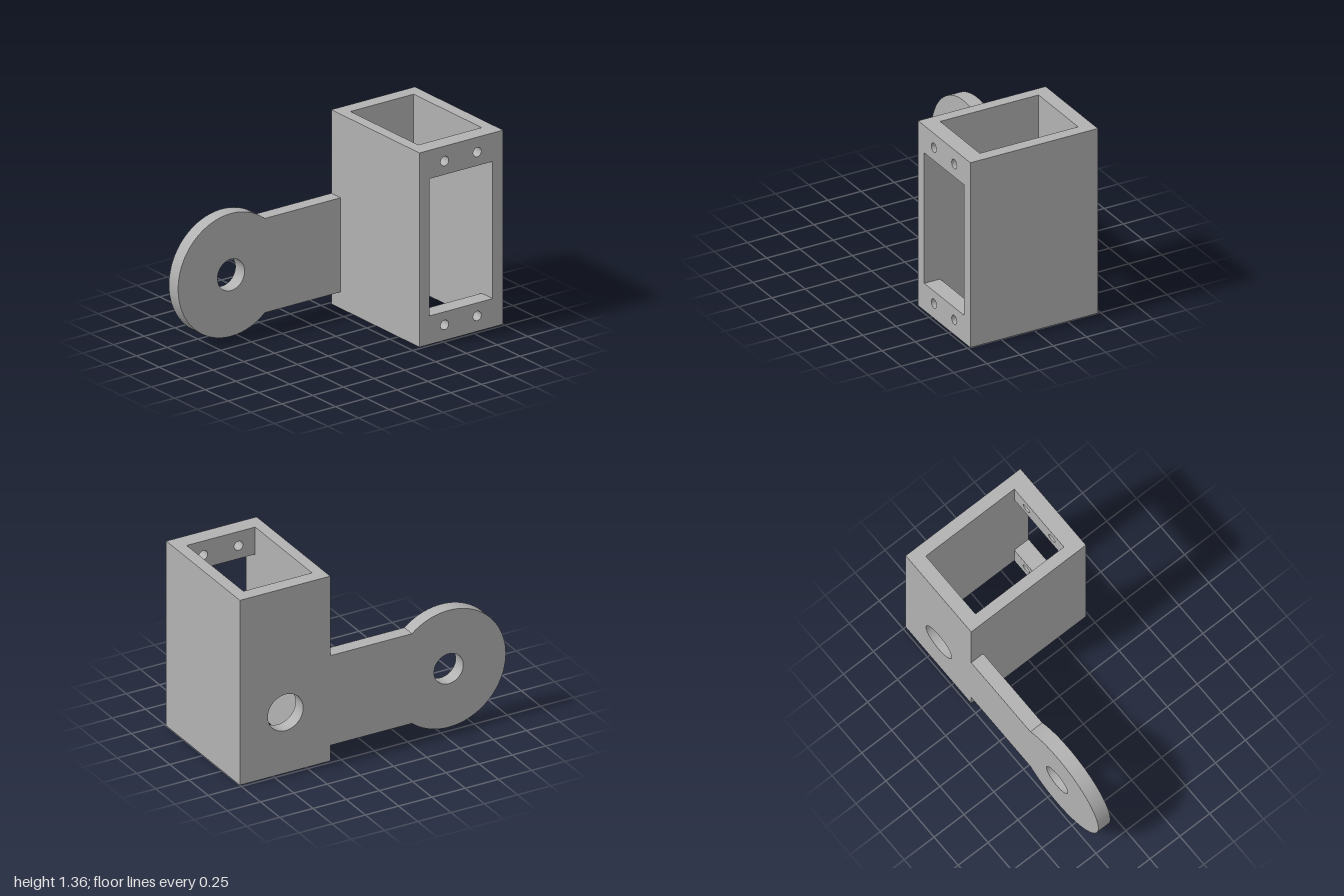
import * as THREE from 'three';

const X0 = 0.32, X1 = 1, H = 1.36;      // housing outline
const IN0 = 0.4, IN1 = 0.915;           // inner cavity in x
const BACK = -0.48, BACK_IN = -0.38, FRONT_IN = 0.36, FRONT = 0.48;
const CY = 0.445;                       // height of the pivot line

const gray = new THREE.MeshStandardMaterial({ color: 0xb2b2b2 });
gray.name = 'light gray';

function addHole(shape, x, y, r) {
  shape.holes.push(new THREE.Path().absarc(x, y, r, 0, Math.PI * 2, true));
}

function plate(name, shape, z0, z1) {
  const geometry = new THREE.ExtrudeGeometry(shape, {
    depth: z1 - z0, bevelEnabled: false, curveSegments: 72,
  });
  geometry.translate(0, 0, z0);
  const mesh = new THREE.Mesh(geometry, gray);
  mesh.name = name;
  return mesh;
}

function wall(name, x0, x1) {
  const depth = FRONT_IN - BACK_IN;
  const mesh = new THREE.Mesh(new THREE.BoxGeometry(x1 - x0, H, depth), gray);
  mesh.position.set((x0 + x1) / 2, H / 2, (FRONT_IN + BACK_IN) / 2);
  mesh.name = name;
  return mesh;
}

export function createModel() {
  const group = new THREE.Group();
  group.name = 'bracket';

  // Back plate: housing rear wall, arm and round pivot end in one outline
  const discX = -0.57, discR = 0.43, armHalf = 0.33;
  const a = Math.asin(armHalf / discR);
  const back = new THREE.Shape();
  back.moveTo(X0, 0);
  back.lineTo(X1, 0);
  back.lineTo(X1, H);
  back.lineTo(X0, H);
  back.lineTo(X0, CY + armHalf);
  back.absarc(discX, CY, discR, a, Math.PI * 2 - a, false);
  back.lineTo(X0, CY - armHalf);
  back.closePath();
  addHole(back, discX, CY, 0.11);
  addHole(back, 0.657, CY, 0.133);
  group.add(plate('backPlateWithArm', back, BACK, BACK_IN));

  // Front wall: rectangular window and four screw holes
  const front = new THREE.Shape();
  front.moveTo(X0, 0);
  front.lineTo(X1, 0);
  front.lineTo(X1, H);
  front.lineTo(X0, H);
  front.closePath();
  const win = new THREE.Path();
  win.moveTo(IN0, 0.2);
  win.lineTo(IN0, 1.16);
  win.lineTo(IN1, 1.16);
  win.lineTo(IN1, 0.2);
  win.closePath();
  front.holes.push(win);
  for (const x of [0.525, 0.79]) {
    for (const y of [0.108, 1.255]) addHole(front, x, y, 0.033);
  }
  group.add(plate('frontWall', front, FRONT_IN, FRONT));

  // Side walls; the housing is open at top and bottom
  group.add(wall('rightWall', X0, IN0), wall('leftWall', IN1, X1));
  return group;
}
